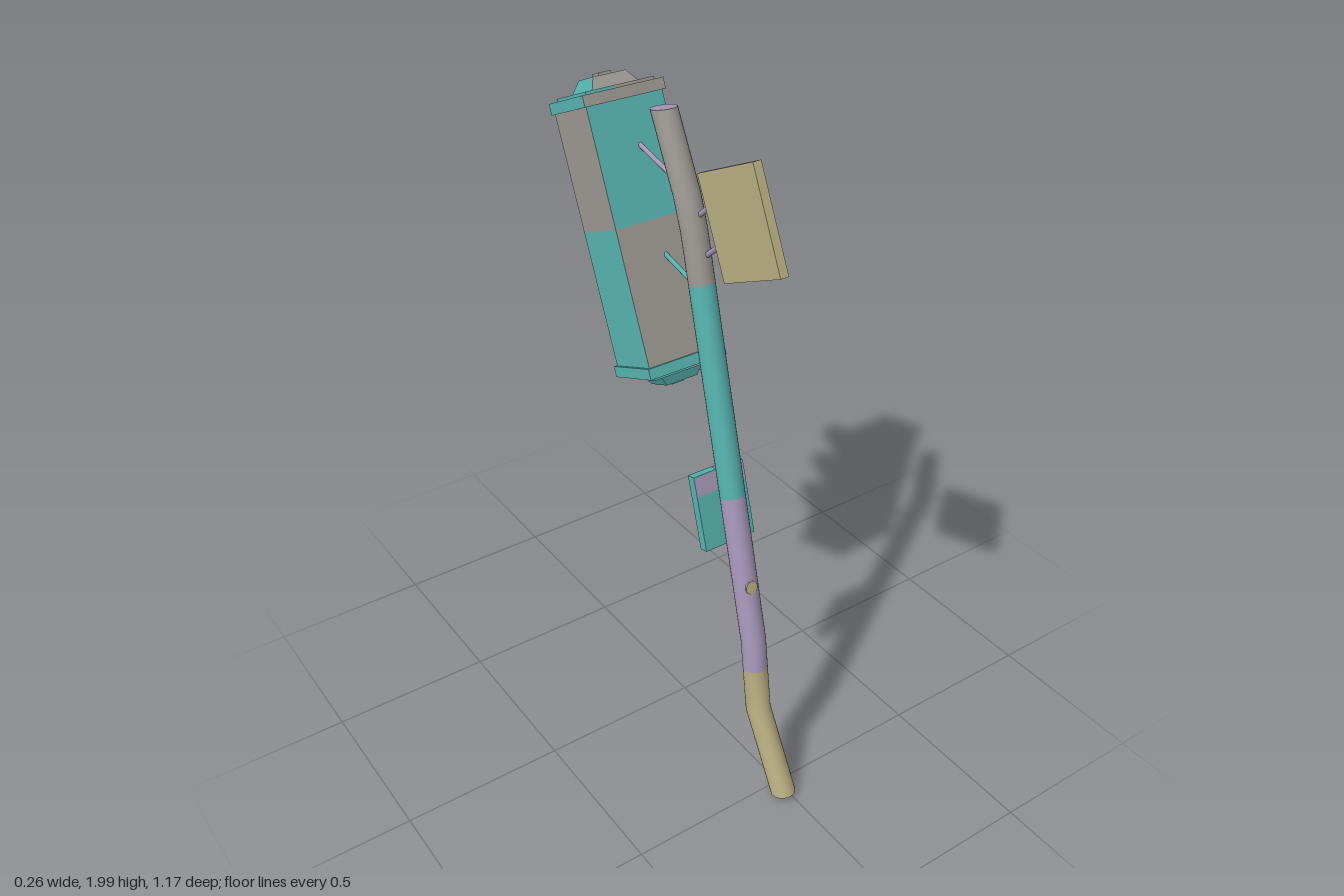
import * as THREE from 'three';

const flat = (name, color) => {
  const m = new THREE.MeshStandardMaterial({ color });
  m.name = name;
  return m;
};

export function createModel() {
  const teal = flat('teal', 0x55b0ac), grey = flat('warm grey', 0x99958f);
  const purple = flat('purple', 0xa596b8), tan = flat('tan', 0xb5ab7e);
  const model = new THREE.Group();
  model.name = 'leaningTrafficLight';

  const add = (parent, name, geo, mat, x = 0, y = 0, z = 0) => {
    const m = new THREE.Mesh(geo, mat);
    m.name = name;
    m.position.set(x, y, z);
    parent.add(m);
    return m;
  };
  const box = (w, h, d) => new THREE.BoxGeometry(w, h, d);
  const group = (name, x, y, z, tilt) => {
    const g = new THREE.Group();
    g.name = name;
    g.position.set(x, y, z);
    g.rotation.x = -tilt;
    model.add(g);
    return g;
  };
  // Thin rod between two points
  const rod = (name, a, b, r, mat) => {
    const dir = b.clone().sub(a);
    const m = add(model, name, new THREE.CylinderGeometry(r, r, dir.length(), 10), mat);
    m.position.copy(a).add(b).multiplyScalar(0.5);
    m.quaternion.setFromUnitVectors(new THREE.Vector3(0, 1, 0), dir.normalize());
  };

  // Bent pole: rings along a path of [y, z], one colour per stretch
  const R = 0.0375, SIDES = 24, TILT = 0.197;
  const path = [[0.0075, 0.547], [0.245, 0.405], [0.39, 0.381], [0.485, 0.365], [0.93, 0.238],
    [1.53, 0.066], [1.67, 0.026], [1.76, -0.01], [1.965, -0.122]];
  const stretch = [3, 3, 2, 2, 0, 1, 1, 1];
  const poleX = y => -0.014 + 0.0158 * y;
  const pos = [], idx = [], last = path.length - 1;
  const poleGeo = new THREE.BufferGeometry();
  path.forEach(([y, z], i) => {
    const dir = (a, b) => new THREE.Vector2(path[b][0] - path[a][0], path[b][1] - path[a][1]).normalize();
    const end = i === 0 || i === last;
    const t = end ? new THREE.Vector2(1, -0.2).normalize() : dir(i - 1, i).add(dir(i, i + 1)).normalize();
    const s = end ? R : R / t.dot(dir(i, i + 1));
    for (let j = 0; j < SIDES; j++) {
      const a = j / SIDES * Math.PI * 2, n = s * Math.sin(a);
      pos.push(poleX(y) + R * Math.cos(a), y - t.y * n, z + t.x * n);
      if (i === last) continue;
      const k = (j + 1) % SIDES, p = i * SIDES, q = p + SIDES;
      idx.push(p + j, q + j, p + k, p + k, q + j, q + k);
    }
    if (i < last) poleGeo.addGroup(i * SIDES * 6, SIDES * 6, stretch[i]);
  });
  poleGeo.setAttribute('position', new THREE.Float32BufferAttribute(pos, 3));
  poleGeo.setIndex(idx);
  poleGeo.computeVertexNormals();
  add(model, 'pole', poleGeo, [teal, grey, purple, tan]);
  const disc = new THREE.CircleGeometry(R, SIDES);
  add(model, 'poleTop', disc, purple, poleX(1.965), 1.965, -0.122).rotation.x = -Math.PI / 2 - TILT;
  add(model, 'poleFoot', disc, teal, poleX(0), 0.0075, 0.547).rotation.x = Math.PI / 2 - TILT;
  add(model, 'poleSticker', new THREE.CylinderGeometry(0.02, 0.02, 0.006, 16), tan, -0.008, 0.67, 0.35)
    .rotation.x = Math.PI / 2 - 0.28;

  // Signal housing, its lights facing local -z
  const head = group('signalHead', 0, 1.573, -0.226, 0.408);
  add(head, 'housingUpper', box(0.245, 0.35, 0.185), [teal, grey, teal, teal, teal, grey], 0, 0.205, 0);
  add(head, 'housingLower', box(0.245, 0.41, 0.185), [grey, teal, grey, grey, grey, grey], 0, -0.175, 0);

  // Stepped caps at both ends; frustum is a box with its top pulled in
  const frustum = (w, h, d, k) => {
    const g = box(w, h, d), p = g.attributes.position;
    for (let i = 0; i < p.count; i++) if (p.getY(i) > 0) p.setXY(i, p.getX(i) * k, p.getY(i)), p.setZ(i, p.getZ(i) * k);
    g.computeVertexNormals();
    return g;
  };
  for (const top of [true, false]) {
    const cap = new THREE.Group();
    cap.name = top ? 'topCap' : 'bottomCap';
    if (!top) cap.rotation.z = Math.PI;
    head.add(cap);
    const rim = top ? grey : teal;
    for (const [x0, x1, mat] of [[-0.13, -0.02, top ? teal : grey], [-0.02, 0.13, top ? grey : teal]]) {
      const w = x1 - x0, mid = (x0 + x1) / 2;
      add(cap, 'capRim', box(w, 0.032, 0.2), [rim, top ? mat : rim, mat, mat, rim, top ? mat : rim], mid, 0.38, 0);
      const inset = x0 < -0.1 ? 0.01 : -0.01;
      add(cap, 'capStep', box(w - 0.02, 0.008, 0.17), mat, mid + inset, 0.4, 0);
    }
    const sides = top ? [grey, teal, teal, teal, grey, teal] : [teal, grey, grey, grey, teal, grey];
    add(cap, 'capCrown', frustum(0.15, 0.036, 0.12, 0.7), sides, 0, 0.42, 0);
    add(cap, 'capKnob', box(0.04, 0.01, 0.035), top ? grey : teal, 0, 0.441, 0);
  }

  // Hood: a tapering half tube cut at a slant
  const hood = (r, length, inward) => {
    const p = [], f = [], n = 20, max = Math.acos(-0.4);
    for (let i = 0; i <= n; i++) {
      const a = (i / n * 2 - 1) * max, k = (Math.cos(a) + 0.4) / 1.4, e = r * (1 - 0.2 * k);
      p.push(r * Math.sin(a), r * Math.cos(a), 0, e * Math.sin(a), e * Math.cos(a), -length * k);
      if (i === n) continue;
      const v = i * 2;
      if (inward) f.push(v, v + 1, v + 2, v + 2, v + 1, v + 3);
      else f.push(v, v + 2, v + 1, v + 2, v + 3, v + 1);
    }
    const g = new THREE.BufferGeometry();
    g.setAttribute('position', new THREE.Float32BufferAttribute(p, 3));
    g.setIndex(f);
    g.computeVertexNormals();
    return g;
  };
  const frame = (w, h, iw, ih, depth) => {
    const rect = (S, a, b) => new S([[-a, -b], [a, -b], [a, b], [-a, b]].map(q => new THREE.Vector2(q[0] / 2, q[1] / 2)));
    const s = rect(THREE.Shape, w, h);
    s.holes.push(rect(THREE.Path, iw, ih));
    return new THREE.ExtrudeGeometry(s, { depth, bevelEnabled: false });
  };

  // Three lamps: door frame, ring, lens and hood
  const lens = (start, span) => new THREE.SphereGeometry(0.07, 20, 14, start, span).scale(1, 1, 0.6);
  const PI = Math.PI;
  [[0.228, grey, teal, grey], [0, grey, grey, grey], [-0.228, teal, teal, teal]].forEach(([y, door, outer, inner], i) => {
    const lamp = new THREE.Group();
    lamp.name = ['topLamp', 'middleLamp', 'bottomLamp'][i];
    lamp.position.set(0, y, -0.0925);
    head.add(lamp);
    add(lamp, 'doorFrame', frame(0.225, 0.218, 0.19, 0.185, 0.014), door, 0, 0, -0.014);
    add(lamp, 'lensRing', new THREE.TorusGeometry(0.076, 0.008, 8, 28), door, 0, 0, -0.004);
    if (i < 2) add(lamp, 'lens', lens(PI, PI), i ? tan : purple);
    else {
      add(lamp, 'lensHalf', lens(PI, PI / 2), tan);
      add(lamp, 'lensHalf', lens(PI * 1.5, PI / 2), purple);
    }
    add(lamp, 'hoodOutside', hood(0.082, 0.175, false), outer);
    add(lamp, 'hoodInside', hood(0.079, 0.172, true), inner);
  });

  // Side sign, edge-on to the front
  const sign = group('sign', 0.005, 1.774, 0.246, -0.0);
  sign.rotation.x = 0.444;
  sign.rotation.x *= -1;
  // its top edge slopes down towards the signal head
  sign.rotation.x = -0.444;
  add(sign, 'signUpper', box(0.026, 0.215, 0.258), [tan, tan, purple, tan, tan, purple], 0, 0.039, 0);
  add(sign, 'signLower', box(0.026, 0.078, 0.258), [purple, tan, purple, purple, tan, purple], 0, -0.1075, 0);

  // Rods holding the sign and the signal head
  const at = (x, y, z) => new THREE.Vector3(x, y, z);
  for (const [y0, z0, y1, z1] of [[1.84, 0.18, 1.70, 0.02], [1.73, 0.21, 1.61, 0.07]]) {
    const a = at(0.02, y0, z0), b = at(0.02, y1, z1), mid = a.clone().lerp(b, 0.5);
    rod('signRodOuter', a, mid, 0.008, teal);
    rod('signRodInner', mid, b, 0.008, purple);
  }
  rod('upperHeadRod', at(0.015, 1.777, -0.04), at(0.015, 1.827, -0.25), 0.007, purple);
  rod('lowerHeadRod', at(0.015, 1.502, 0.05), at(0.015, 1.548, -0.14), 0.007, teal);

  // Push-button box on the pole
  const panel = group('buttonBox', 0, 0.868, 0.188, 0.29);
  add(panel, 'boxUpper', box(0.172, 0.06, 0.03), [teal, teal, grey, teal, purple, teal], 0, 0.085, 0);
  add(panel, 'boxMiddle', box(0.172, 0.055, 0.03), [teal, teal, teal, teal, teal, teal], 0, 0.0275, 0);
  add(panel, 'boxLower', box(0.172, 0.115, 0.03), [grey, teal, teal, teal, teal, teal], 0, -0.0575, 0);
  add(panel, 'boxTopCorner', box(0.08, 0.004, 0.03), teal, -0.046, 0.115, 0);
  add(panel, 'screenFrame', frame(0.128, 0.158, 0.11, 0.14, 0.006), grey, 0, 0.015, -0.021);
  add(panel, 'screen', box(0.11, 0.14, 0.004), tan, 0, 0.015, -0.016);
  add(panel, 'button', new THREE.CylinderGeometry(0.012, 0.012, 0.008, 16), teal, 0, -0.09, -0.017).rotation.x = PI / 2;

  return model;
}
